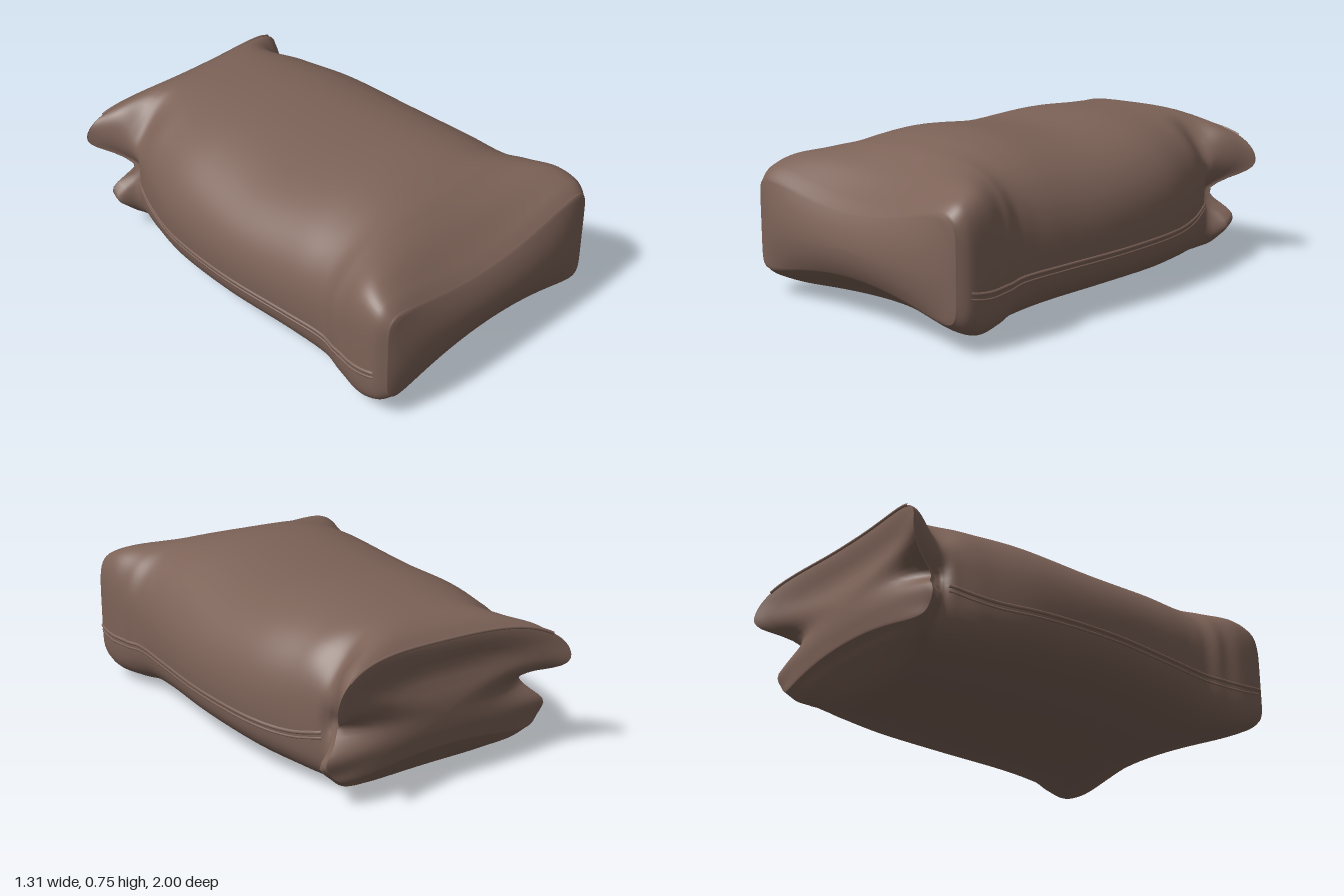
import * as THREE from 'three';

// Stations along the sack: z, half width, top height, bottom height, corner squareness
const STATIONS = [
  [0.955, 0.61, 0.60, 0.09, 6.5],
  [0.90, 0.642, 0.675, 0.03, 5],
  [0.80, 0.648, 0.74, -0.025, 3.8],
  [0.68, 0.632, 0.745, -0.025, 3],
  [0.56, 0.615, 0.735, 0.0, 2.6],
  [0.35, 0.63, 0.755, 0.013, 2.3],
  [0.0, 0.648, 0.725, 0.02, 2.3],
  [-0.35, 0.622, 0.74, 0.01, 2.3],
  [-0.60, 0.555, 0.725, 0.005, 2.5],
  [-0.74, 0.505, 0.715, 0.008, 2.9],
  [-0.80, 0.515, 0.705, 0.008, 3.6],
  [-0.86, 0.57, 0.68, 0.03, 4.6],
  [-0.91, 0.62, 0.64, 0.09, 5.5],
];
const MID = 0.33;
const smooth = (a, b, x) => {
  const t = Math.min(1, Math.max(0, (x - a) / (b - a)));
  return t * t * (3 - 2 * t);
};
const bell = (x, centre, width) => Math.exp(-(((x - centre) / width) ** 2));

// Smoothly interpolated station at s in 0..1 from front to back
function station(s) {
  const f = s * (STATIONS.length - 1);
  const i = Math.min(Math.floor(f), STATIONS.length - 2);
  const t = f - i;
  const at = (k) => STATIONS[Math.min(STATIONS.length - 1, Math.max(0, k))];
  return STATIONS[0].map((_, k) => {
    const a = at(i)[k], b = at(i + 1)[k];
    const ma = (b - at(i - 1)[k]) / 2, mb = (at(i + 2)[k] - a) / 2;
    const t2 = t * t, t3 = t2 * t;
    return a * (2 * t3 - 3 * t2 + 1) + ma * (t3 - 2 * t2 + t) + b * (3 * t2 - 2 * t3) + mb * (t3 - t2);
  });
}

// Point of the cloth: s along the sack, (u, v) on the unit square outline, r shrinks the end caps
function cloth(s, u, v, r = 1) {
  const [z0, w, top, bottom, n0] = station(s);
  const n = n0 + 0.9 * smooth(0, -0.5, v);
  const k = r / Math.pow(Math.abs(u) ** n + Math.abs(v) ** n, 1 / n);
  const a = u * k, b = v * k;
  const front = smooth(0.5, 0.96, z0), back = smooth(-0.72, -0.91, z0);
  const up = smooth(0, 0.7, b), down = smooth(0, -0.8, b);
  const side = Math.abs(a), sign = Math.sign(a);
  let x = a * w, y = b * (b > 0 ? top - MID : MID - bottom), z = z0;

  // End edges sink between the corners, like a pillow
  y *= 1 - (1 - a * a) * (0.45 * front + 0.35 * back * down);
  y += MID + 0.035 * x * Math.max(0, b) * (1 - 0.6 * back);
  // Gathered waist between the upper and lower back corners
  x *= 1 - back * (0.25 * bell(b, 0.06, 0.4) + 0.13 * down);
  z += 0.09 * back * side ** 4 * bell(b, 0.03, 0.28);
  // Small ears on the lower back corners
  x += sign * 0.055 * side ** 4 * bell(b, -0.45, 0.2) * bell(z0, -0.86, 0.05);
  // Upper back corners drawn out into tips
  z -= 0.1 * back * side ** 2.5 * up;
  y -= 0.07 * back * side ** 4 * up;
  z += 0.04 * back * side ** 4 * down;
  // Dimples in front of the tips
  y -= 0.06 * up * bell(Math.abs(x), 0.44, 0.1) * bell(z, -0.78, 0.08);
  // Folds on the sides near the front
  x += sign * 0.004 * Math.sin(z * 50) * bell(z, 0.66, 0.1) * bell(b, 0.3, 0.5) * side ** 6;
  // Bulging front and softly hollowed back
  if (s === 0) z += 0.044 * (1 - a ** 6) * (1 - b * b);
  if (s === 1) z += (1 - r * r) * (0.04 * bell(b, 0.6, 0.25) - 0.015);
  return new THREE.Vector3(x, y, z);
}

// Point on a square outline, counter-clockwise, denser near the corners
function outline(t) {
  const side = Math.floor(t * 4) % 4;
  const e = Math.sin((t * 4 - Math.floor(t * 4) - 0.5) * Math.PI);
  return [[1, e], [-e, 1], [-1, -e], [e, -1]][side];
}

function sackGeometry() {
  const N = 128, ROWS = 120, rings = [];
  const caps = [0, 0.15, 0.3, 0.45, 0.6, 0.72, 0.82, 0.9, 0.95];
  caps.forEach((r) => rings.push([0, r]));
  for (let i = 0; i <= ROWS; i++) rings.push([i / ROWS, 1]);
  [...caps].reverse().forEach((r) => rings.push([1, r]));
  const pos = [], index = [];
  rings.forEach(([s, r], i) => {
    for (let j = 0; j < N; j++) {
      const [u, v] = outline(j / N);
      pos.push(...cloth(s, u, v, r).toArray());
      if (i === rings.length - 1) continue;
      const a = i * N + j, b = i * N + ((j + 1) % N);
      index.push(a, a + N, b, b, a + N, b + N);
    }
  });
  const g = new THREE.BufferGeometry();
  g.setAttribute('position', new THREE.Float32BufferAttribute(pos, 3));
  g.setIndex(index);
  g.computeVertexNormals();
  return g;
}

export function createModel() {
  const group = new THREE.Group();
  const brown = new THREE.MeshStandardMaterial({ color: 0x7c6257 });
  brown.name = 'brown cloth';
  const add = (name, geometry) => {
    const m = new THREE.Mesh(geometry, brown);
    m.name = name;
    group.add(m);
  };
  const cord = (points, radius) =>
    new THREE.TubeGeometry(new THREE.CatmullRomCurve3(points), 90, radius, 8, false);

  add('sackBody', sackGeometry());

  // Double seam along each side, following the cloth
  for (const side of [1, -1]) {
    for (const drop of [0, 0.075]) {
      const pts = [];
      for (let i = 0; i <= 30; i++) {
        const s = 0.08 + (0.68 * i) / 30;
        const p = cloth(s, side, -0.24 - drop + 0.14 * smooth(0.62, 0.78, s));
        p.x -= side * 0.002;
        pts.push(p);
      }
      add(side > 0 ? 'leftSideSeam' : 'rightSideSeam', cord(pts, drop ? 0.006 : 0.009));
    }
  }

  // Closing seam across the upper back edge
  const edge = [];
  for (let i = 0; i <= 24; i++) edge.push(cloth(1, -0.9 + (1.8 * i) / 24, 1));
  add('closingSeam', cord(edge, 0.007));
  return group;
}
